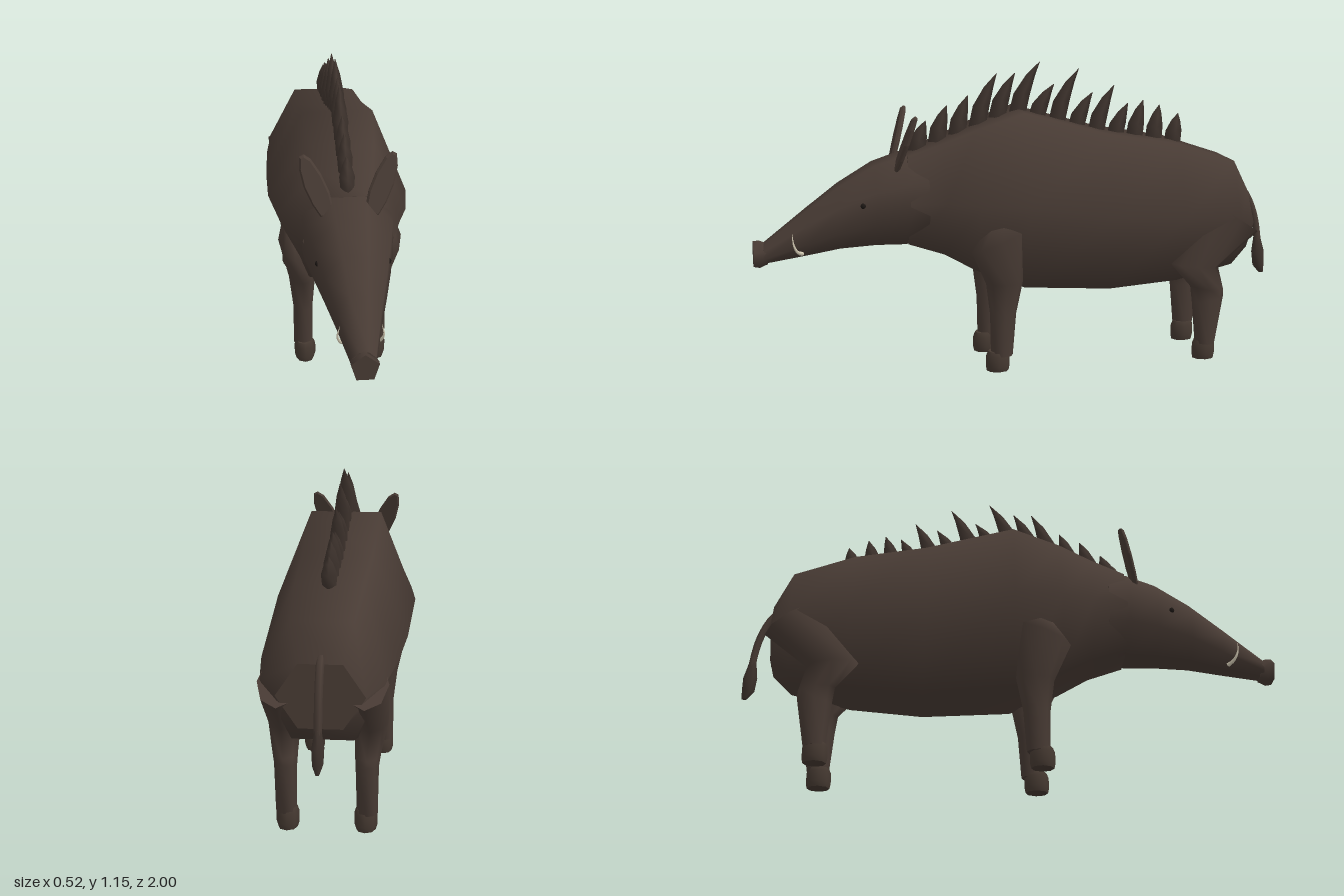
import * as THREE from 'three';

const mat = (name, color, extra = {}) => Object.assign(new THREE.MeshStandardMaterial({ color, ...extra }), { name });

// Skin through elliptical rings { c: centre, u, v: half axes }; u x v points along the path.
function loft(rings, sides, phase = 0) {
  const pos = [], idx = [];
  const point = (r, k) => {
    const a = phase + (k % sides) / sides * Math.PI * 2;
    return r.c.map((c, i) => c + r.u[i] * Math.cos(a) + r.v[i] * Math.sin(a));
  };
  rings.forEach(r => { for (let k = 0; k < sides; k++) pos.push(...point(r, k)); });
  for (let i = 0; i < rings.length - 1; i++) {
    for (let k = 0; k < sides; k++) {
      const a = i * sides + k, b = i * sides + (k + 1) % sides;
      idx.push(a, b, a + sides, b, b + sides, a + sides);
    }
  }
  // Flat end caps with their own vertices
  [[rings[0], true], [rings[rings.length - 1], false]].forEach(([r, start]) => {
    const o = pos.length / 3;
    pos.push(...r.c);
    for (let k = 0; k < sides; k++) pos.push(...point(r, k));
    for (let k = 0; k < sides; k++) {
      const a = o + 1 + k, b = o + 1 + (k + 1) % sides;
      idx.push(o, ...(start ? [b, a] : [a, b]));
    }
  });
  const g = new THREE.BufferGeometry();
  g.setAttribute('position', new THREE.Float32BufferAttribute(pos, 3));
  g.setIndex(idx);
  g.computeVertexNormals();
  return g;
}

// Ring facing z from its top, bottom and half width; k is the flat-top factor
const zRing = (z, top, bottom, w, k = 1) => ({ c: [0, (top + bottom) / 2, z], u: [w, 0, 0], v: [0, (top - bottom) / 2 / k, 0] });
// Ring facing up, optionally tilted so its back edge is lower
const yRing = (x, y, z, rx, rz, tilt = 0) => ({ c: [x, y, z], u: [0, tilt, rz], v: [rx, 0, 0] });

export function createModel() {
  const hide = mat('hide', 0x483b34);
  const bristle = mat('bristle', 0x3e332d);
  const hoofMat = mat('hoof', 0x453931);
  const ivory = mat('ivory', 0xd8cfb8);
  const dark = mat('eye dark', 0x1c1714);
  const model = new THREE.Group();
  const add = (name, geometry, material) => {
    const m = new THREE.Mesh(geometry, material);
    m.name = name;
    model.add(m);
    return m;
  };

  // Six-sided barrel body, rump to neck
  const h = Math.sin(Math.PI / 3);
  add('body', loft([
    zRing(-0.895, 0.64, 0.42, 0.15, h),
    zRing(-0.825, 0.765, 0.36, 0.21, h),
    zRing(-0.6, 0.84, 0.31, 0.237, h),
    zRing(-0.33, 0.885, 0.292, 0.253, h),
    zRing(0, 0.975, 0.315, 0.262, h),
    zRing(0.18, 0.915, 0.385, 0.237, h),
    zRing(0.3, 0.865, 0.45, 0.2, h),
    zRing(0.43, 0.82, 0.49, 0.162, h),
  ], 6), hide);

  // Tapering head
  const w8 = 1 / Math.cos(Math.PI / 8);
  add('head', loft([
    [0.36, 0.815, 0.5, 0.16], [0.44, 0.82, 0.488, 0.157], [0.55, 0.785, 0.488, 0.137],
    [0.68, 0.71, 0.478, 0.108], [0.8, 0.622, 0.455, 0.077], [0.96, 0.5, 0.427, 0.04],
  ].map(([z, t, b, w]) => zRing(z, t, b, w * w8, 1 / w8)), 8, Math.PI / 8), hide);
  add('snout', loft([
    zRing(0.945, 0.5, 0.42, 0.043), zRing(0.975, 0.512, 0.405, 0.05), zRing(0.998, 0.512, 0.41, 0.05),
  ], 5, Math.PI / 2), hide);

  // Paired parts
  for (const s of [1, -1]) {
    const side = s > 0 ? 'left' : 'right';

    add(side + 'FrontLeg', loft([
      yRing(s * 0.14, 0.06, 0.09, 0.036, 0.042),
      yRing(s * 0.14, 0.22, 0.085, 0.037, 0.05),
      yRing(s * 0.142, 0.34, 0.08, 0.05, 0.07),
      yRing(s * 0.175, 0.51, 0.105, 0.057, 0.105, -0.04),
      yRing(s * 0.175, 0.57, 0.095, 0.035, 0.065, -0.025),
    ], 8), hide);

    add(side + 'HindLeg', loft([
      yRing(s * 0.14, 0.06, -0.712, 0.036, 0.04),
      yRing(s * 0.14, 0.235, -0.72, 0.04, 0.063, -0.01),
      yRing(s * 0.142, 0.28, -0.715, 0.045, 0.067, 0.01),
      yRing(s * 0.15, 0.375, -0.66, 0.058, 0.095, 0.01),
      yRing(s * 0.145, 0.555, -0.82, 0.075, 0.095, 0.062),
    ], 8), hide);

    for (const [part, z] of [['FrontHoof', 0.105], ['HindHoof', -0.708]]) {
      add(side + part, loft([
        yRing(s * 0.135, 0, z, 0.034, 0.042),
        yRing(s * 0.135, 0.02, z, 0.04, 0.046),
        yRing(s * 0.135, 0.06, z, 0.04, 0.045),
        yRing(s * 0.135, 0.077, z, 0.034, 0.038),
      ], 8), hoofMat);
    }

    // Leaf-shaped ear leaning back
    const leaf = new THREE.Shape([
      [0.1, 0.765], [0.13, 0.81], [0.158, 0.87], [0.172, 0.93], [0.17, 0.97], [0.155, 0.978],
      [0.13, 0.962], [0.095, 0.91], [0.068, 0.85], [0.055, 0.79],
    ].map(([x, y]) => new THREE.Vector2(s * x, y)));
    const ear = new THREE.ExtrudeGeometry(leaf, {
      depth: 0.004, bevelEnabled: true, bevelThickness: 0.008, bevelSize: 0.006, bevelOffset: -0.006, bevelSegments: 1,
    });
    const p = ear.attributes.position;
    for (let i = 0; i < p.count; i++) p.setZ(i, p.getZ(i) + 0.47 - 0.3 * (p.getY(i) - 0.77));
    ear.computeVertexNormals();
    add(side + 'Ear', ear, hide);

    // Upcurved tusk
    const tusk = new THREE.CatmullRomCurve3([
      [0.045, 0.465, 0.82], [0.066, 0.475, 0.838], [0.078, 0.505, 0.853], [0.07, 0.545, 0.857],
    ].map(([x, y, z]) => new THREE.Vector3(s * x, y, z)));
    const tuskGeo = new THREE.TubeGeometry(tusk, 10, 0.008, 6);
    const tp = tuskGeo.attributes.position;
    for (let i = 0; i < tp.count; i++) {
      const t = Math.floor(i / 7) / 10, c = tusk.getPointAt(t), v = new THREE.Vector3().fromBufferAttribute(tp, i);
      v.sub(c).multiplyScalar(1.05 - t).add(c);
      tp.setXYZ(i, v.x, v.y, v.z);
    }
    add(side + 'Tusk', tuskGeo, ivory);

    add(side + 'Eye', new THREE.SphereGeometry(0.012, 8, 6), dark).position.set(s * 0.12, 0.65, 0.6);
  }

  // Mane: four-sided bristle spikes [tip z, tip y, base y] swept backwards
  [[0.35, 0.94, 0.83], [0.27, 0.995, 0.86], [0.19, 1.03, 0.885], [0.08, 1.11, 0.91], [0.01, 1.11, 0.945],
    [-0.085, 1.15, 0.955], [-0.14, 1.065, 0.945], [-0.235, 1.12, 0.92], [-0.29, 1.03, 0.9], [-0.375, 1.055, 0.875],
    [-0.43, 0.985, 0.86], [-0.49, 0.995, 0.85], [-0.555, 0.975, 0.84], [-0.63, 0.94, 0.83],
  ].forEach(([tz, ty, by], i) => {
    const bz = 0.385 - 0.0765 * i, dy = ty - by;
    add('maneSpike', loft([
      yRing(0, by, bz, 0.024, 0.033),
      yRing(0, by + dy * 0.4, bz + (tz - bz) * 0.22, 0.028, 0.032),
      yRing(0, by + dy * 0.75, bz + (tz - bz) * 0.6, 0.016, 0.018),
      yRing(0, ty, tz, 0.001, 0.001),
    ], 4), bristle);
  });

  // Hanging tail with a tuft
  const tail = new THREE.CatmullRomCurve3([[0.66, -0.87], [0.63, -0.905], [0.55, -0.945], [0.46, -0.965], [0.38, -0.972]]
    .map(([y, z]) => new THREE.Vector3(0, y, z)));
  add('tail', new THREE.TubeGeometry(tail, 10, 0.014, 6), hide);
  add('tailTuft', loft([
    yRing(0, 0.295, -0.988, 0.007, 0.01), yRing(0, 0.325, -0.976, 0.02, 0.023),
    yRing(0, 0.38, -0.972, 0.023, 0.026), yRing(0, 0.44, -0.967, 0.013, 0.014),
  ], 6), bristle);

  return model;
}
